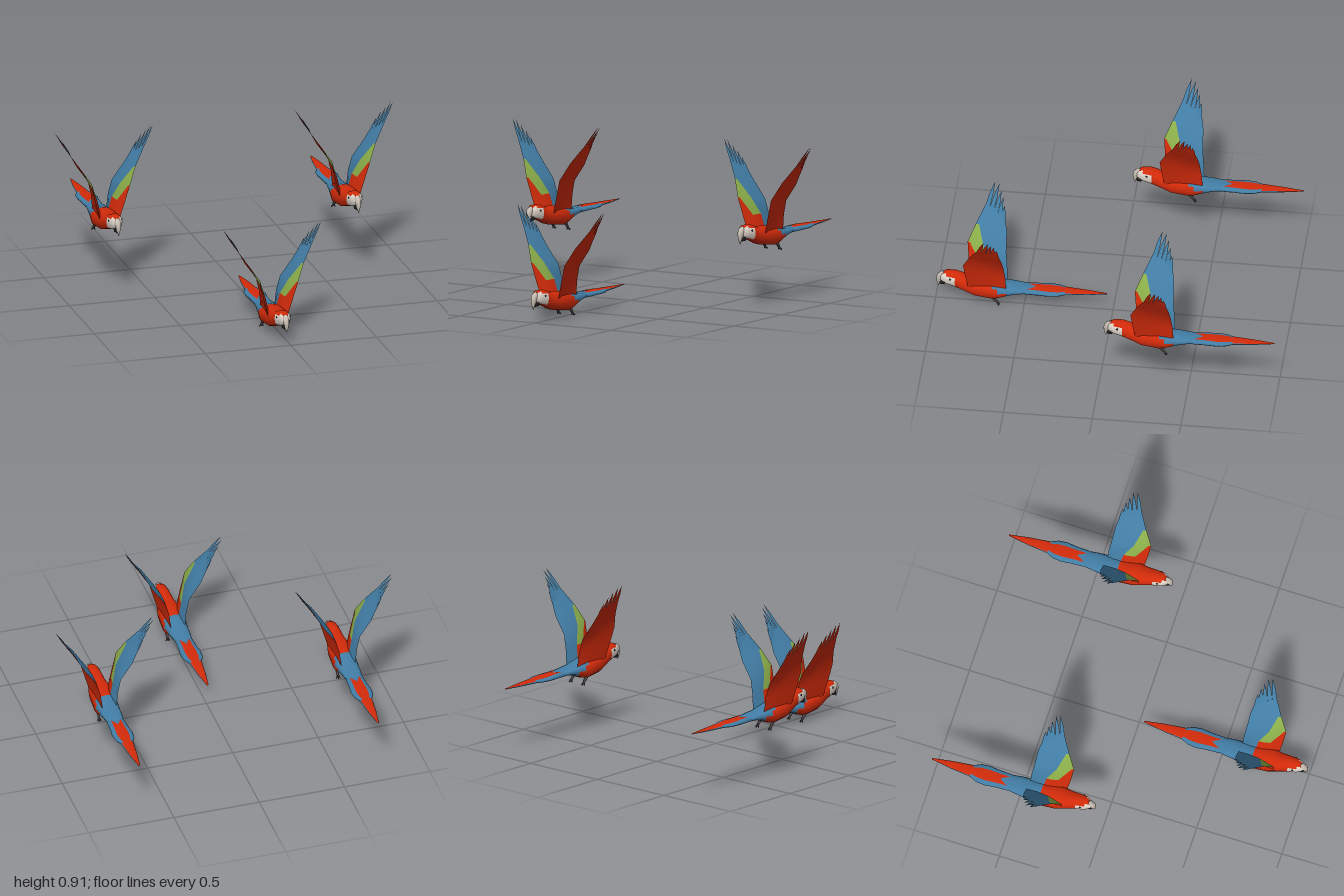
import * as THREE from 'three';

const paint = (name, color) => {
  const m = new THREE.MeshStandardMaterial({ color });
  m.name = name;
  return m;
};
const RED = 0, BLUE = 1, GREEN = 2, FACE = 3, BEAK = 4, BLACK = 5, FOOT = 6;
const paints = [
  paint('scarlet', 0xd42b0a), paint('blue', 0x427ea6), paint('green', 0x8db04a), paint('faceWhite', 0xe0d6cc),
  paint('beakGrey', 0xc8beb4), paint('black', 0x221f20), paint('footGrey', 0x4a4344),
];

// Skin a grid of points; pick(row, column) gives each quad its colour.
function surface(name, rows, pick, { closed = false, flip = false } = {}) {
  const n = rows[0].length, cols = closed ? n : n - 1;
  const buckets = paints.map(() => []);
  for (let j = 0; j < rows.length - 1; j++) {
    for (let u = 0; u < cols; u++) {
      const v = (u + 1) % n;
      const a = j * n + u, b = (j + 1) * n + u, c = j * n + v, d = (j + 1) * n + v;
      buckets[pick(j, u)].push(...(flip ? [a, c, b, c, d, b] : [a, b, c, c, b, d]));
    }
  }
  const g = new THREE.BufferGeometry();
  g.setAttribute('position', new THREE.Float32BufferAttribute(rows.flat(2), 3));
  g.setIndex(buckets.flat());
  let start = 0;
  buckets.forEach((b, k) => {
    if (b.length) g.addGroup(start, b.length, k);
    start += b.length;
  });
  g.computeVertexNormals();
  const mesh = new THREE.Mesh(g, paints);
  mesh.name = name;
  return mesh;
}

// Sections [z, top, bottom, halfWidth, notch], front to back: oval above, boxier below.
function loft(name, sections, n, pick) {
  const soft = (v, p) => Math.sign(v) * Math.abs(v) ** p;
  const rows = sections.map(([z, top, bottom, w, notch = 0]) => Array.from({ length: n }, (_, i) => {
    const a = (i / n) * Math.PI * 2, c = Math.cos(a), p = c < -0.01 ? 0.65 : 0.85;
    return [soft(Math.sin(a), p) * w, (top + bottom) / 2 + soft(c, p) * (top - bottom) / 2, z - notch * c ** 16];
  }));
  return surface(name, rows, pick, { closed: true, flip: true });
}

const BODY = [
  [0.978, 0.145, 0.135, 0.002], [0.972, 0.162, 0.115, 0.02], [0.94, 0.178, 0.1, 0.036], [0.89, 0.176, 0.086, 0.043],
  [0.84, 0.156, 0.068, 0.052], [0.78, 0.152, 0.045, 0.066], [0.68, 0.143, 0.032, 0.07], [0.65, 0.135, 0.038, 0.067],
  [0.6, 0.122, 0.058, 0.06], [0.55, 0.114, 0.075, 0.056], [0.48, 0.108, 0.082, 0.046], [0.46, 0.1, 0.09, 0.01],
];
const TAIL = [
  [0.55, 0.1, 0.09, 0.03], [0.49, 0.11, 0.079, 0.05, 0.055], [0.42, 0.108, 0.08, 0.053], [0.36, 0.106, 0.083, 0.06],
  [0.31, 0.105, 0.085, 0.055], [0.27, 0.104, 0.086, 0.036], [0.15, 0.1, 0.09, 0.023], [0.035, 0.097, 0.094, 0.004],
];

// How far a column of a 12-sided loft sits from the top: 0 (top) to 5 (bottom).
const fromTop = (u) => Math.min(u, 11 - u);

function bodyColour(j, u) {
  const z = (BODY[j][0] + BODY[j + 1][0]) / 2, t = fromTop(u);
  if (z > 0.89) return t < 1 || (t < 2 && z < 0.94) ? RED : t < 5 || z > 0.93 ? FACE : RED;
  return z < (t < 2 ? 0.69 : t < 3 ? 0.63 : 0.58) ? BLUE : RED;
}
function tailColour(j, u) {
  const t = Math.min(fromTop(u), 5 - fromTop(u));
  return (j >= 1 && t < 1) || (j >= 5 && t < 2) ? RED : BLUE;
}

// Wing stations from root to hand: leading point, trailing point, chord fractions.
const WING = [
  [[0.05, 0.09, 0.81], [0.04, 0.1, 0.6], [0, 0.2, 0.4, 0.62, 0.8, 1]],
  [[0.08, 0.2, 0.825], [0.05, 0.2, 0.605], [0, 0.3, 0.45, 0.6, 0.8, 1]],
  [[0.11, 0.31, 0.835], [0.07, 0.28, 0.613], [0, 0.06, 0.2, 0.42, 0.7, 1]],
  [[0.155, 0.405, 0.793], [0.138, 0.375, 0.617], [0, 0.03, 0.06, 0.1, 0.6, 1]],
  [[0.218, 0.5, 0.745], [0.168, 0.43, 0.628], [0, 0.2, 0.4, 0.6, 0.8, 1]],
];
const TIPS = [[0.285, 0.612, 0.7], [0.28, 0.605, 0.675], [0.257, 0.575, 0.66], [0.232, 0.545, 0.648], [0.207, 0.505, 0.638]];
const WING_PAINT = [
  [RED, RED, RED, BLUE, BLUE], [RED, GREEN, GREEN, BLUE, BLUE],
  [GREEN, GREEN, GREEN, BLUE, BLUE], [BLUE, BLUE, BLUE, BLUE, BLUE],
];

function wing(side) {
  const g = new THREE.Group();
  g.name = side > 0 ? 'leftWing' : 'rightWing';
  const along = (a, b, t) => a.map((v, k) => v + (b[k] - v) * t);
  // Move a point off the underside towards the upper side, and mirror it
  const lift = ([x, y, z], t) => [side * (x - 0.9 * t), y + 0.4 * t, z];
  const sheet = (thick) => WING.map(([lead, trail, chord], j) => chord.map(
    (c) => lift(along(lead, trail, c), Math.sin(Math.PI * c) * thick * (1 - j / 4))));
  g.add(surface('wingTop', sheet(0.025), (j, u) => WING_PAINT[j][u], { flip: side < 0 }));
  g.add(surface('wingUnderside', sheet(0), () => RED, { flip: side > 0 }));

  // Flight feathers: ridged blades, blue above and red below
  const [lead, trail] = WING[4];
  TIPS.forEach((tip, i) => {
    const base = [0, 0.5, 1].map((k) => along(lead, trail, (i + k) / 5));
    const reach = tip.map((v, k) => (v - base[1][k]) * 0.5);
    const mid = base.map((p) => along(p, base[1], 0.2).map((v, k) => v + reach[k]));
    const blade = (ridge) => [
      base.map((p) => lift(p, 0)), mid.map((p, k) => lift(p, k === 1 ? ridge : 0)), [tip, tip, tip].map((p) => lift(p, 0)),
    ];
    g.add(surface('featherTop', blade(0.004), () => BLUE, { flip: side < 0 }));
    g.add(surface('featherUnderside', blade(-0.004), () => RED, { flip: side > 0 }));
  });
  return g;
}

function rod(name, from, to, r0, r1, colour) {
  const a = new THREE.Vector3(...from), b = new THREE.Vector3(...to), d = b.clone().sub(a);
  const m = new THREE.Mesh(new THREE.CylinderGeometry(r1, r0, d.length(), 6), paints[colour]);
  m.position.copy(a).add(b).multiplyScalar(0.5);
  m.quaternion.setFromUnitVectors(new THREE.Vector3(0, 1, 0), d.normalize());
  m.name = name;
  return m;
}

function bird(name) {
  const g = new THREE.Group();
  g.name = name;
  g.add(loft('body', BODY, 12, bodyColour), loft('tail', TAIL, 12, tailColour));

  // Hooked upper beak, lofted upwards from its tip
  const upper = loft('upperBeak', [
    [-0.073, 0.987, 0.984, 0.001], [-0.1, 0.997, 0.977, 0.009], [-0.128, 1, 0.955, 0.016],
    [-0.152, 0.992, 0.95, 0.018], [-0.168, 0.972, 0.955, 0.01], [-0.17, 0.965, 0.96, 0.001],
  ], 8, () => BEAK);
  upper.rotation.x = Math.PI / 2;
  g.add(upper);
  g.add(loft('lowerBeak', [
    [0.984, 0.1, 0.095, 0.003], [0.974, 0.117, 0.086, 0.013], [0.952, 0.122, 0.088, 0.02], [0.94, 0.115, 0.105, 0.004],
  ], 8, () => BLACK));

  for (const s of [1, -1]) {
    g.add(wing(s));
    const eye = new THREE.Mesh(new THREE.SphereGeometry(0.006, 8, 6), paints[BLACK]);
    eye.scale.x = 0.5;
    eye.position.set(s * 0.039, 0.146, 0.918);
    eye.name = 'eye';
    g.add(eye);

    // Tucked leg with three toes
    const ankle = [s * 0.047, 0.018, 0.65];
    g.add(rod('leg', [s * 0.045, 0.05, 0.675], ankle, 0.012, 0.007, FOOT));
    for (const k of [-1, 0, 1]) {
      g.add(rod('toe', ankle, [s * 0.047 + k * 0.011, 0.003, 0.634 + Math.abs(k) * 0.006], 0.006, 0.003, FOOT));
    }
  }
  return g;
}

export function createModel() {
  const flock = new THREE.Group();
  flock.name = 'parrotFlock';
  const places = [['leadParrot', -0.02, 0, 0], ['leftParrot', 0.7, 0.297, -1.028], ['rightParrot', -0.7, 0.297, -1.028]];
  for (const [name, x, y, z] of places) {
    const b = bird(name);
    b.position.set(x, y, z);
    flock.add(b);
  }
  return flock;
}
